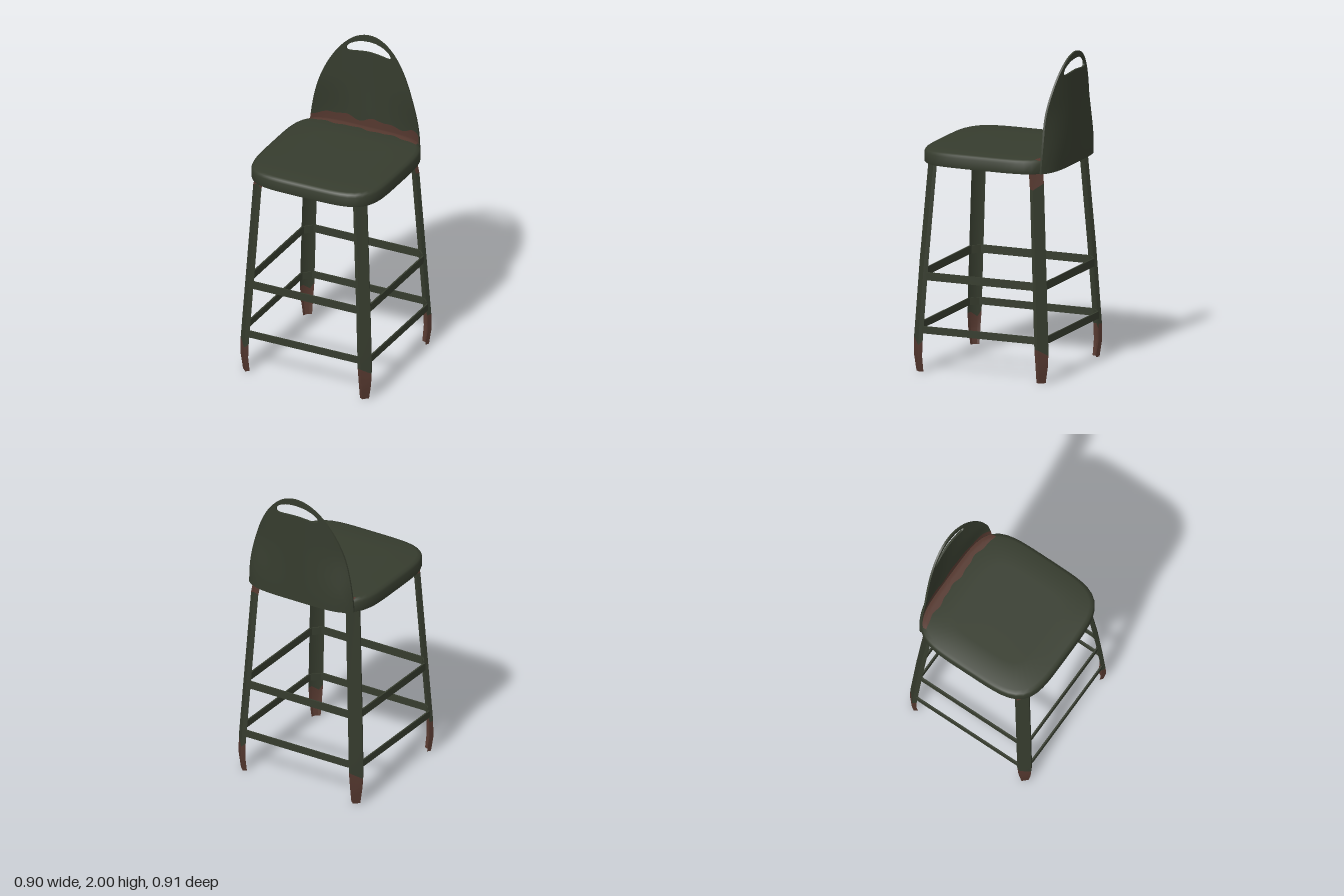
import * as THREE from 'three';
import { toCreasedNormals } from 'three/addons/utils/BufferGeometryUtils.js';

const V = (x, y, z) => new THREE.Vector3(x, y, z);
const range = (n, f) => Array.from({ length: n }, (_, i) => f(i));

// Skin rows of points; optionally wrap along or across the rows and cap the ends.
function loft(rows, { wrapRow = true, wrapAll = false, capStart = false, capEnd = false, crease = 0.6 } = {}) {
  const n = rows[0].length, m = rows.length, pts = rows.flat(), index = [];
  const id = (i, j) => (i % m) * n + (j % n);
  for (let i = 0; i < (wrapAll ? m : m - 1); i++) {
    for (let j = 0; j < (wrapRow ? n : n - 1); j++) {
      const a = id(i, j), b = id(i, j + 1), c = id(i + 1, j + 1), d = id(i + 1, j);
      index.push(a, b, c, a, c, d);
    }
  }
  const cap = (i, flip) => {
    const centre = rows[i].reduce((s, p) => s.add(p), V(0, 0, 0)).divideScalar(n);
    const k = pts.push(centre) - 1;
    for (let j = 0; j < n; j++) {
      const a = id(i, j), b = id(i, j + 1);
      index.push(k, flip ? b : a, flip ? a : b);
    }
  };
  if (capStart) cap(0, true);
  if (capEnd) cap(m - 1, false);
  const g = new THREE.BufferGeometry().setFromPoints(pts);
  g.setIndex(index);
  return toCreasedNormals(g, crease);
}

// Linear lookup in a table of [key, value], keys rising.
function lookup(table, k) {
  for (let i = 1; i < table.length; i++) {
    const [k0, v0] = table[i - 1], [k1, v1] = table[i];
    if (k <= k1) return v0 + (v1 - v0) * Math.max(0, (k - k0) / (k1 - k0));
  }
  return table[table.length - 1][1];
}

// Seat outline: a bulging rounded square.
const A = 0.442, N = 4.5;
const seatRing = ([s, y]) => range(72, (j) => {
  const t = (j / 72) * Math.PI * 2, sx = Math.sin(t), cz = Math.cos(t);
  const r = (s * A) / Math.pow(Math.abs(sx) ** N + Math.abs(cz) ** N, 1 / N);
  return V(r * sx, y, r * cz);
});
const seatBack = (x) => -A * Math.pow(1 - Math.abs(x / A) ** N, 1 / N);
const topEdge = [[0.6, 1.386], [0.94, 1.385], [0.985, 1.378], [1, 1.362]];

// Backrest: half width by height, and the curved sheet it lies on.
const Y0 = 1.3, H = 0.7;
const halfWidth = (y) => 0.378 * Math.sqrt(Math.max(0, 1 - ((y - Y0) / H) ** 1.85));
const backPoint = (x, y, off) => {
  const w = THREE.MathUtils.smoothstep(y, 1.36, 1.7);
  const z = (1 - w) * (seatBack(x) - 0.008) + w * (-0.451 + 0.55 * x * x);
  return V(x, y, z + off);
};

function backrestGeometry() {
  const side = range(29, (i) => {
    const y = 2 - H * (i / 28) ** 2;
    return [halfWidth(y), y];
  });
  const bottom = range(27, (i) => [0.378 * (1 - (i + 1) / 14), Y0]);
  const left = side.slice(1).reverse().map(([x, y]) => [-x, y]);
  const outer = [...side, ...bottom, ...left];
  // Arched hand slot, matched point for point with the outline
  const slot = outer.map(([x, y]) => {
    const t = Math.atan2(x, y - 1.92), s = Math.sin(t), c = Math.cos(t);
    const sx = 0.152 * Math.sign(s) * Math.abs(s) ** 0.8;
    return [sx, 1.923 - 1.4 * sx * sx + 0.037 * Math.sign(c) * Math.abs(c) ** 0.8];
  });
  const row = (f, off) => outer.map(([x, y], j) =>
    backPoint(slot[j][0] + (x - slot[j][0]) * f, slot[j][1] + (y - slot[j][1]) * f, off));
  const S = 16;
  const front = range(S + 1, (i) => row(i / S, 0.006));
  const rear = range(S + 1, (i) => row(1 - i / S, -0.006));
  return loft([...front, ...rear], { wrapAll: true });
}

// Legs: shallow channel section, facing outward along the diagonal.
const legOut = [[0, 0.417], [0.1, 0.426], [0.2, 0.425], [1.28, 0.366], [1.36, 0.35]];
const legHalf = [[0, 0.028], [0.1, 0.039], [0.2, 0.046], [1.36, 0.046]];
const section = [[-0.8, 0], [0.8, 0], [1, -1], [0.5, -0.6], [-0.5, -0.6], [-1, -1]];
const ragged = (y) => section.map((_, j) => y + 0.022 * Math.sin(j * 2.4 + y * 9));
const level = (y) => section.map(() => y);
const legGeometry = (heights, caps) => loft(heights.map((ys) => section.map(([t, d], j) =>
  V(t * lookup(legHalf, ys[j]), ys[j], lookup(legOut, ys[j]) * Math.SQRT2 + d * 0.026))), { ...caps, crease: 0.5 });

// Foot rail: a thin flat band running round inside the four legs.
function railGeometry(h, c, y0, y1) {
  const path = range(4, (k) => [[c - 0.02, h], [c + 0.003, h - 0.004], [h - 0.004, c + 0.003], [h, c - 0.02]]
    .map(([x, z]) => V(x, 0, z).applyAxisAngle(V(0, 1, 0), (k * Math.PI) / 2))).flat();
  const inner = 1 - 0.01 / h;
  return loft(path.map((p) => [[1, y1], [1, y0], [inner, y0], [inner, y1]]
    .map(([s, y]) => V(p.x * s, y, p.z * s))), { wrapAll: true });
}

export function createModel() {
  const green = new THREE.MeshStandardMaterial({ color: 0x363c2e });
  green.name = 'olive paint';
  const rust = new THREE.MeshStandardMaterial({ color: 0x55382f });
  rust.name = 'rust';
  const model = new THREE.Group();
  model.name = 'barChair';
  const add = (name, geometry, material, parent = model) => {
    const mesh = new THREE.Mesh(geometry, material);
    mesh.name = name;
    parent.add(mesh);
    return mesh;
  };

  // Hollow pressed seat
  add('seatUnderside', loft([[0.5, 1.366], [0.955, 1.366]].map(seatRing), { capStart: true }), green);
  add('seatInnerRust', loft([[0.955, 1.366], [0.96, 1.335]].map(seatRing)), rust);
  const shell = [[0.96, 1.335], [0.965, 1.3], [0.995, 1.3], [1, 1.308], ...[...topEdge].reverse().map(([s, y]) => [s, y])];
  add('seatShell', loft(shell.map(seatRing), { capEnd: true, crease: 0.9 }), green);

  // Backrest and the rust along the joint with the seat
  add('backrest', backrestGeometry(), green);
  const K = 48;
  const wave = (x) => 1.424 + 0.011 * Math.sin(23 * x) + 0.008 * Math.sin(41 * x + 1);
  add('backrestRust', loft(range(4, (i) => range(K + 1, (j) => {
    const k = (j / K) * 2 - 1, y = 1.37 + (wave(k * 0.37) - 1.37) * (i / 3);
    return backPoint(k * (halfWidth(y) - 0.002), y, 0.011);
  })), { wrapRow: false }), rust);
  add('seatTopRust', loft(range(7, (i) => range(K + 1, (j) => {
    const x = ((j / K) * 2 - 1) * 0.37;
    const zBack = 0.985 * seatBack(x / 0.985);
    const zFront = Math.max(zBack + 0.004,
      -0.378 + 0.03 * (x / 0.37) ** 4 + 0.006 * Math.sin(26 * x) + 0.004 * Math.sin(55 * x));
    const z = zFront + (zBack - zFront) * (i / 6);
    const s = Math.pow(Math.abs(x / A) ** N + Math.abs(z / A) ** N, 1 / N);
    return V(x, lookup(topEdge, s) + 0.003, z);
  })), { wrapRow: false }), rust);

  // Four legs with rusty feet; some have rust at the top too
  const legs = [['frontLeftLeg', 1, 1.34], ['backLeftLeg', 3, 1.22], ['backRightLeg', 5, 1.34], ['frontRightLeg', 7, 1.27]];
  for (const [name, turn, rustTop] of legs) {
    const leg = new THREE.Group();
    leg.name = name;
    leg.rotation.y = (turn * Math.PI) / 4;
    add('foot', legGeometry([level(0), level(0.05), level(0.1), ragged(0.19)], { capStart: true }), rust, leg);
    add('shaft', legGeometry([ragged(0.19), level(0.3), level(0.7), ragged(rustTop)]), green, leg);
    add('legTop', legGeometry([ragged(rustTop), level(1.364)], { capEnd: true }), rust, leg);
    model.add(leg);
  }

  // Two foot rails
  add('lowerRail', railGeometry(0.441, 0.388, 0.245, 0.29), green);
  add('upperRail', railGeometry(0.421, 0.37, 0.575, 0.625), green);
  return model;
}
